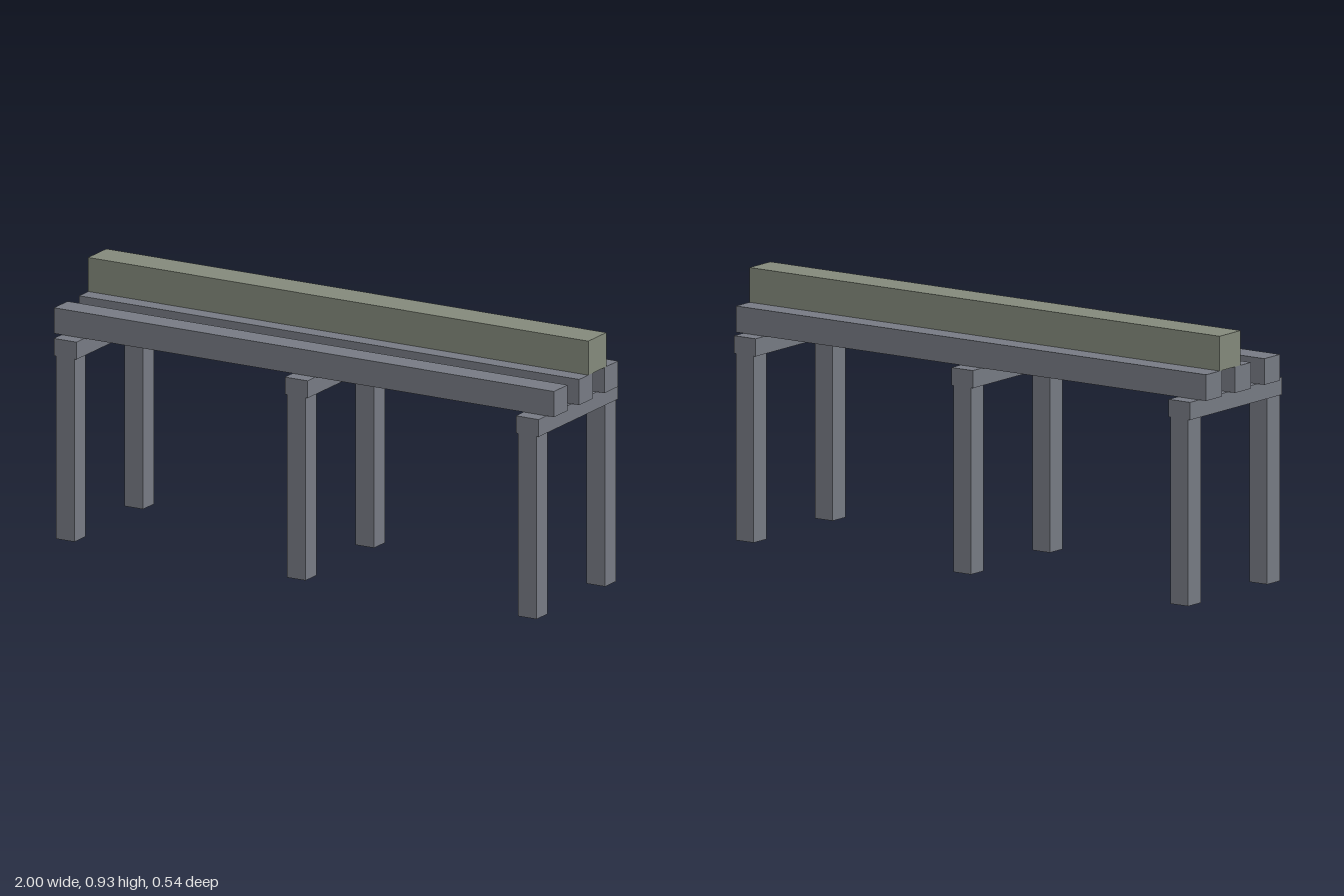
import * as THREE from 'three';

export function createModel() {
  const model = new THREE.Group();
  model.name = 'beamOnTrestles';

  const steelGrey = new THREE.MeshStandardMaterial({ color: 0x767a83 });
  steelGrey.name = 'steelGrey';
  const sageGreen = new THREE.MeshStandardMaterial({ color: 0x83897b });
  sageGreen.name = 'sageGreen';

  // Box standing on height y
  function addBox(parent, name, material, [w, h, d], [x, y, z]) {
    const mesh = new THREE.Mesh(new THREE.BoxGeometry(w, h, d), material);
    mesh.name = name;
    mesh.position.set(x, y + h / 2, z);
    parent.add(mesh);
  }

  const legHeight = 0.655, capHeight = 0.062, railSize = 0.092;
  const railBase = legHeight + capHeight;

  // Three trestles: two legs joined by a cross beam
  for (const x of [-0.924, 0, 0.924]) {
    const trestle = new THREE.Group();
    trestle.name = 'trestle';
    trestle.position.x = x;
    for (const side of [1, -1]) {
      addBox(trestle, side > 0 ? 'frontLeg' : 'backLeg', steelGrey,
        [0.075, legHeight, 0.075], [0, 0, side * 0.231]);
    }
    addBox(trestle, 'crossBeam', steelGrey, [0.091, capHeight, 0.537], [0, legHeight, 0]);
    model.add(trestle);
  }

  // Long rails across the trestles
  for (const [name, z] of [['frontRail', 0.17], ['middleRail', 0], ['backRail', -0.17]]) {
    addBox(model, name, steelGrey, [2, railSize, railSize], [0, railBase, z]);
  }

  // Large beam resting over the gap between the middle and back rails
  addBox(model, 'topBeam', sageGreen, [2, 0.122, 0.122], [0, railBase + railSize, -0.076]);

  return model;
}
